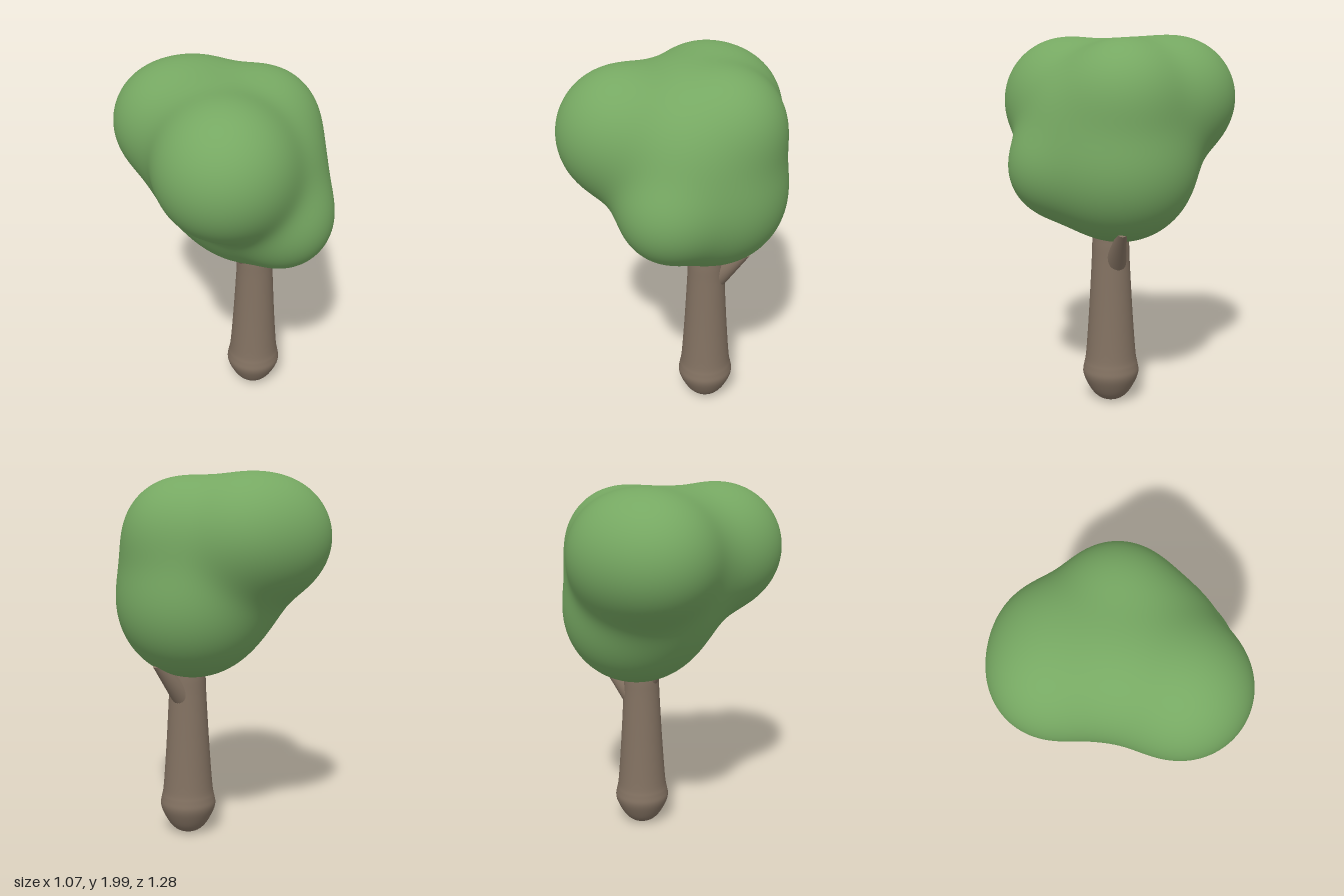
import * as THREE from 'three';
import { mergeVertices } from 'three/addons/utils/BufferGeometryUtils.js';

// Overlapping leaf masses that melt together: x, y, z, radius
const LOBES = [
  [-0.19, 1.635, 0.30, 0.34],   // upper front
  [-0.20, 1.655, -0.315, 0.29], // upper back
  [-0.02, 1.655, -0.315, 0.285],
  [-0.12, 1.63, -0.02, 0.30],   // upper middle
  [0.215, 1.665, -0.05, 0.285], // upper left
  [0.10, 1.55, 0.16, 0.27],     // front middle
  [0.14, 1.29, 0.315, 0.245],   // lower front
  [0.135, 1.295, -0.03, 0.393], // lower body
  [-0.07, 1.40, -0.08, 0.26],   // lower right
];
const BLEND = 0.07;

// Distance to the softly joined lobes
function crownDistance(p) {
  let sum = 0;
  for (const [x, y, z, r] of LOBES) {
    sum += Math.exp(-(Math.hypot(p.x - x, p.y - y, p.z - z) - r) / BLEND);
  }
  return -BLEND * Math.log(sum);
}

// A fine sphere shrunk along its rays onto the joined lobes
function crownGeometry() {
  const ico = new THREE.IcosahedronGeometry(1, 40);
  ico.deleteAttribute('normal');
  ico.deleteAttribute('uv');
  const geo = mergeVertices(ico, 1e-5);
  const pos = geo.attributes.position;
  const centre = new THREE.Vector3(0.03, 1.48, 0);
  const dir = new THREE.Vector3(), p = new THREE.Vector3();
  for (let i = 0; i < pos.count; i++) {
    dir.fromBufferAttribute(pos, i).normalize();
    let t = 1.3;
    for (let s = 0; s < 80; s++) {
      const d = crownDistance(p.copy(centre).addScaledVector(dir, t));
      t -= d;
      if (Math.abs(d) < 1e-4) break;
    }
    p.copy(centre).addScaledVector(dir, t);
    pos.setXYZ(i, p.x, p.y, p.z);
  }
  geo.computeVertexNormals();
  return geo;
}

// Tapered round limb between two points
function limb(name, from, to, r0, r1, material) {
  const a = new THREE.Vector3(...from), b = new THREE.Vector3(...to);
  const axis = b.clone().sub(a);
  const mesh = new THREE.Mesh(new THREE.CylinderGeometry(r1, r0, axis.length(), 24), material);
  mesh.position.copy(a).add(b).multiplyScalar(0.5);
  mesh.quaternion.setFromUnitVectors(new THREE.Vector3(0, 1, 0), axis.normalize());
  mesh.name = name;
  return mesh;
}

export function createModel() {
  const group = new THREE.Group();
  group.name = 'tree';
  const bark = new THREE.MeshStandardMaterial({ color: 0x827161 });
  const leaves = new THREE.MeshStandardMaterial({ color: 0x76a862 });

  const crown = new THREE.Mesh(crownGeometry(), leaves);
  crown.name = 'crown';
  group.add(crown);

  // Trunk with a rounded, bulging foot
  const profile = new THREE.SplineCurve([
    [0, 0], [0.055, 0.008], [0.1, 0.045], [0.138, 0.11], [0.154, 0.16], [0.148, 0.205],
    [0.137, 0.27], [0.12, 0.5], [0.104, 0.78], [0.099, 0.9], [0.085, 0.97], [0, 1.0],
  ].map(([r, y]) => new THREE.Vector2(r, y))).getPoints(60);
  profile.forEach((v) => { v.x = Math.max(v.x, 0); });
  const trunk = new THREE.Mesh(new THREE.LatheGeometry(profile, 40), bark);
  trunk.name = 'trunk';
  trunk.position.set(0.14, 0, 0.025);
  group.add(trunk);

  // Branches reaching into the crown
  group.add(limb('leftBranch', [0.19, 0.79, -0.005], [0.355, 0.985, -0.05], 0.058, 0.025, bark));
  group.add(limb('rightBranch', [0.13, 0.82, 0.03], [0.01, 1.0, 0.03], 0.055, 0.035, bark));
  return group;
}
